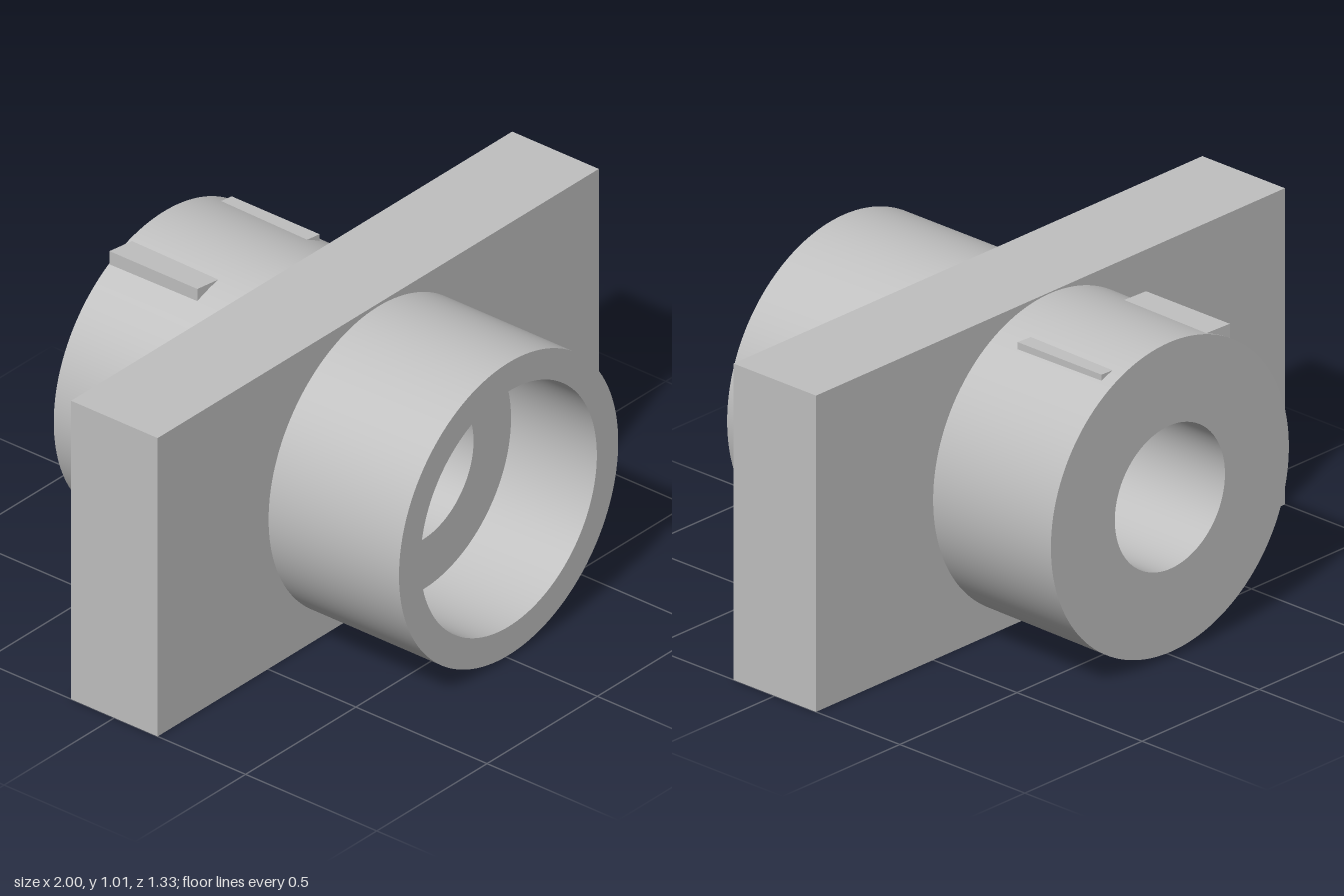
import * as THREE from 'three';
import { toCreasedNormals } from 'three/addons/utils/BufferGeometryUtils.js';

const CENTRE_Y = 0.507, OUTER = 0.497, BORE = 0.23, HALF = 0.165, END = 0.662;

// Ring revolved about the z axis from a closed [radius, z] profile
function ring(profile) {
  const points = profile.map(([r, z]) => new THREE.Vector2(r, z));
  const geo = new THREE.LatheGeometry(points, 128).rotateX(Math.PI / 2);
  return toCreasedNormals(geo, 0.5);
}

export function createModel() {
  const model = new THREE.Group();
  const steel = new THREE.MeshStandardMaterial({ color: 0xc0c0c0 });
  steel.name = 'grey steel';
  const add = (name, geo, y = 0) => {
    const mesh = new THREE.Mesh(geo, steel);
    mesh.name = name;
    mesh.position.y = y;
    model.add(mesh);
    return mesh;
  };

  // Mounting plate with the through bore
  const outline = new THREE.Shape([[-1, 0], [1, 0], [1, 1.014], [-1, 1.014]]
    .map(([x, y]) => new THREE.Vector2(x, y)));
  outline.holes.push(new THREE.Path().absarc(0, CENTRE_Y, BORE, 0, Math.PI * 2, true));
  const plate = new THREE.ExtrudeGeometry(outline, { depth: HALF * 2, bevelEnabled: false, curveSegments: 64 });
  add('mountingPlate', toCreasedNormals(plate.translate(0, 0, -HALF), 0.5));

  // Front sleeve with a counterbore
  add('frontSleeve', ring([
    [BORE, HALF], [OUTER, HALF], [OUTER, END], [0.4, END], [0.4, 0.335], [BORE, 0.335], [BORE, HALF],
  ]), CENTRE_Y);

  // Rear sleeve, very slightly out of line
  const rear = add('rearSleeve', ring([
    [BORE, -0.655], [OUTER, -0.655], [OUTER, -0.15], [BORE, -0.15], [BORE, -0.655],
  ]), CENTRE_Y + 0.006);
  rear.rotation.y = -0.02;

  // Flat key on top of the rear sleeve: skewed ends, sloping top
  const key = new THREE.BoxGeometry(0.49, 0.1, 0.335);
  const p = key.attributes.position;
  for (let i = 0; i < p.count; i++) {
    const x = p.getX(i);
    p.setZ(i, p.getZ(i) + x * 0.11);
    if (p.getY(i) > 0) p.setY(i, 0.05 - x * 0.035);
  }
  key.computeVertexNormals();
  key.translate(0.005, 0, -0.463);
  add('rearKey', key, 0.927);

  return model;
}
